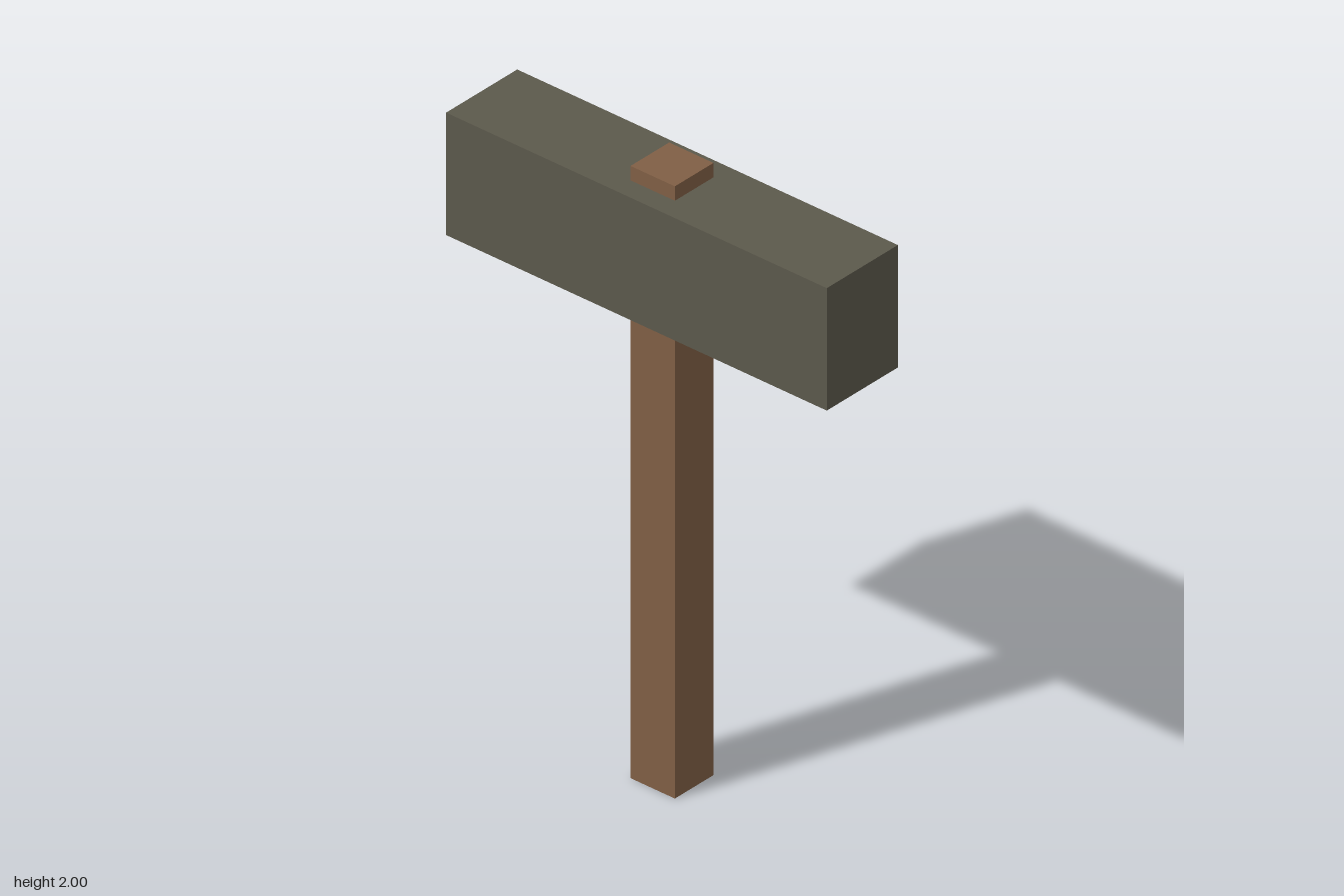
import * as THREE from 'three';

const wood = new THREE.MeshStandardMaterial({ color: 0x805f45 });
wood.name = 'brown wood';
const stone = new THREE.MeshStandardMaterial({ color: 0x5c594c });
stone.name = 'dark stone';

// Box standing on the given base height, centred on x and z
function block(name, width, height, depth, baseY, material) {
  const mesh = new THREE.Mesh(new THREE.BoxGeometry(width, height, depth), material);
  mesh.name = name;
  mesh.position.y = baseY + height / 2;
  return mesh;
}

export function createModel() {
  const hammer = new THREE.Group();
  hammer.name = 'hammer';
  hammer.add(
    // Square shaft running through the head and out of its top
    block('handle', 0.163, 2, 0.163, 0, wood),
    // Heavy crosswise block
    block('head', 1.4, 0.4, 0.3, 1.553, stone),
  );
  return hammer;
}
